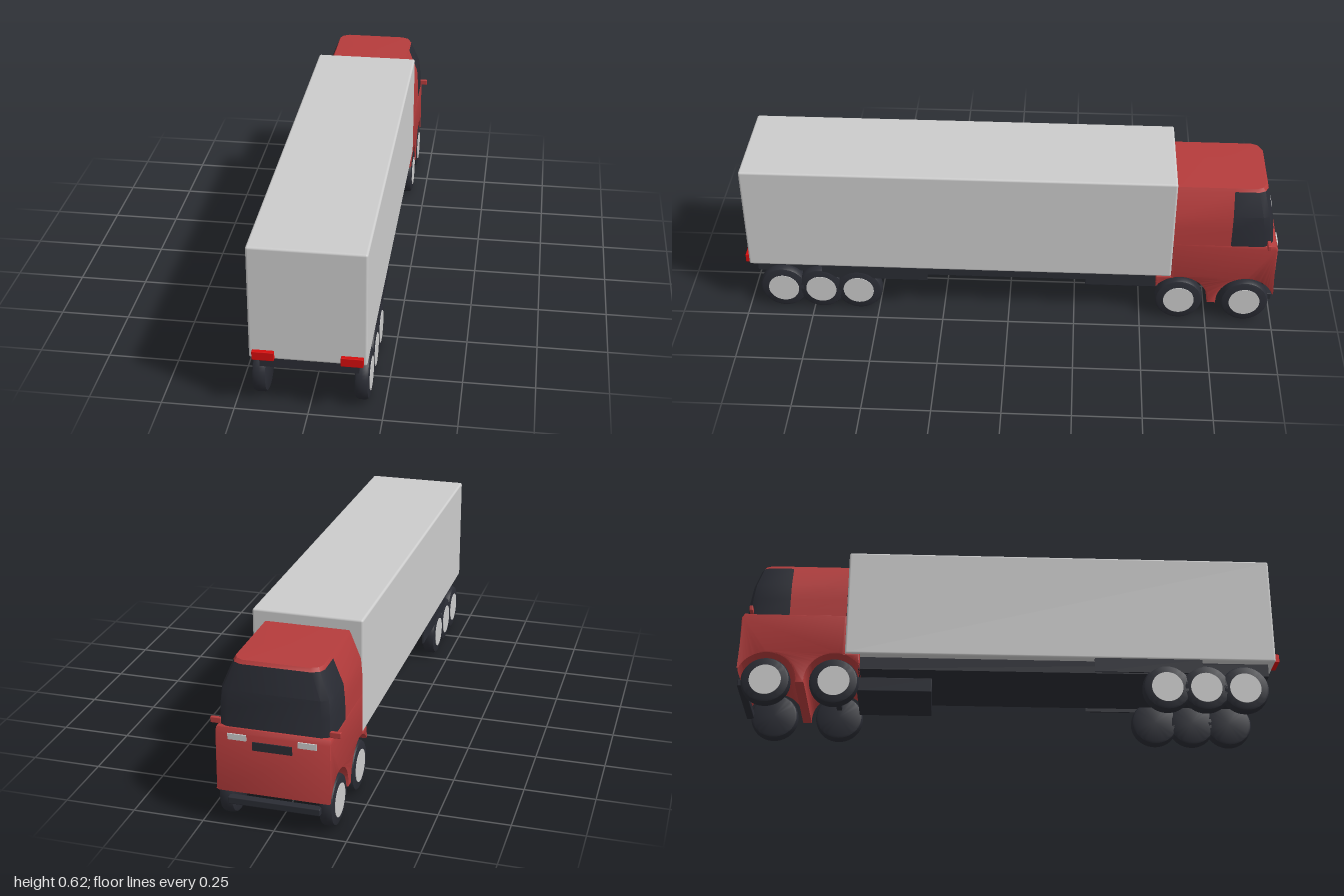
import * as THREE from 'three';
import { toCreasedNormals } from 'three/addons/utils/BufferGeometryUtils.js';
import { RoundedBoxGeometry } from 'three/addons/geometries/RoundedBoxGeometry.js';

function material(name, color) {
  const m = new THREE.MeshStandardMaterial({ color });
  m.name = name;
  return m;
}

export function createModel() {
  const truck = new THREE.Group();
  truck.name = 'truck';
  const red = material('cabRed', 0xb53c3c);
  const grey = material('lightGrey', 0xcccccc);
  const dark = material('darkGrey', 0x2a2c34);
  const lamp = material('tailLampRed', 0xd40c0c);
  const glass = dark.clone();
  glass.name = 'glass';
  glass.side = THREE.DoubleSide;

  function add(name, geometry, mat, x = 0, y = 0, z = 0, parent = truck) {
    const mesh = new THREE.Mesh(geometry, mat);
    mesh.name = name;
    mesh.position.set(x, y, z);
    parent.add(mesh);
    return mesh;
  }
  // Box given by its limits on each axis
  function box(name, mat, [x0, x1], [y0, y1], [z0, z1], r = 0) {
    const w = x1 - x0, h = y1 - y0, d = z1 - z0;
    const g = r ? new RoundedBoxGeometry(w, h, d, 3, r) : new THREE.BoxGeometry(w, h, d);
    return add(name, g, mat, (x0 + x1) / 2, (y0 + y1) / 2, (z0 + z1) / 2);
  }

  // Cargo box and chassis
  box('cargoBox', grey, [-0.197, 0.197], [0.2, 0.62], [-0.61, 0.985], 0.008);
  box('chassis', dark, [-0.167, 0.167], [0.152, 0.201], [-0.56, 0.96]);
  box('underTank', dark, [-0.118, 0.118], [0.086, 0.141], [-0.565, -0.29], 0.003);
  box('crossBar', dark, [-0.15, 0.15], [0.117, 0.135], [-0.655, -0.635]);
  box('frontBumper', dark, [-0.16, 0.16], [0.078, 0.104], [-0.998, -0.97], 0.004);

  // Lower cab: side profile with wheel arches cut through
  const p = new THREE.Shape();
  const arch = 0.108;
  p.moveTo(-0.61, 0.356);
  p.lineTo(-0.61, 0.201);
  p.lineTo(-0.555, 0.201);
  p.absarc(-0.645, 0.09, arch, 0.586, Math.PI + 0.09, false);
  p.absarc(-0.893, 0.09, arch, -0.09, Math.PI - 0.336, false);
  p.lineTo(-0.995, 0.34);
  p.lineTo(-0.985, 0.356);
  p.closePath();
  const bevel = 0.006;
  const lower = new THREE.ExtrudeGeometry(p, {
    depth: 0.394 - 2 * bevel, curveSegments: 24, bevelEnabled: true,
    bevelThickness: bevel, bevelSize: bevel, bevelOffset: -bevel, bevelSegments: 2,
  });
  lower.translate(0, 0, -0.197 + bevel).rotateY(-Math.PI / 2);
  add('lowerCab', toCreasedNormals(lower, 0.7), red);

  // Upper cab: plan outlines [height, half width, front z] lofted upwards
  const levels = [[0.35, 0.196, -0.978], [0.42, 0.195, -0.972], [0.48, 0.19, -0.964], [0.568, 0.155, -0.944], [0.58, 0.149, -0.936]];
  const rings = levels.map(([y, w, f]) => {
    const half = [[w, -0.61], [w, -0.82], [w, f + 0.035], [w - 0.01, f + 0.013], [w - 0.035, f]];
    const other = half.slice().reverse().map(([x, z]) => [-x, z]);
    return [...half, ...other].map(([x, z]) => [x, y, z]);
  });
  const bodyFaces = [], glassFaces = [];
  const columns = rings[0].length - 1;
  for (let i = 0; i < rings.length - 1; i++) {
    for (let j = 0; j < columns; j++) {
      const a = rings[i][j], b = rings[i][j + 1], c = rings[i + 1][j + 1], d = rings[i + 1][j];
      const painted = j === 0 || j === columns - 1 || i === rings.length - 2;
      (painted ? bodyFaces : glassFaces).push(...a, ...b, ...c, ...a, ...c, ...d);
    }
  }
  // Roof closes the top outline
  const top = rings[rings.length - 1];
  top.forEach((a, j) => bodyFaces.push(...a, ...top[(j + 1) % top.length], 0, 0.583, -0.77));
  function faces(points) {
    const g = new THREE.BufferGeometry();
    g.setAttribute('position', new THREE.Float32BufferAttribute(points, 3));
    return toCreasedNormals(g, 0.5);
  }
  add('upperCab', faces(bodyFaces), red);
  add('windscreenAndSideWindows', faces(glassFaces), glass);
  box('frontPlate', dark, [-0.068, 0.068], [0.29, 0.32], [-0.999, -0.992]);

  // Tyre profile turned around the wheel axis
  const tyre = new THREE.LatheGeometry(
    [[0, -0.024], [0.078, -0.024], [0.085, -0.021], [0.089, -0.014], [0.09, 0],
      [0.089, 0.014], [0.085, 0.021], [0.078, 0.024], [0, 0.024]].map(([r, y]) => new THREE.Vector2(r, y)), 40);
  const tyreGeometry = toCreasedNormals(tyre.rotateZ(-Math.PI / 2), 0.6);
  const hubGeometry = new THREE.CylinderGeometry(0.058, 0.058, 0.004, 32).rotateZ(-Math.PI / 2);

  // Mirrored parts on both sides
  for (const s of [-1, 1]) {
    const span = (a, b) => (s > 0 ? [a, b] : [-b, -a]);
    for (const z of [0.863, 0.719, 0.575, -0.645, -0.893]) {
      const wheel = new THREE.Group();
      wheel.name = 'wheel';
      wheel.position.set(s * 0.173, 0.09, z);
      truck.add(wheel);
      add('tyre', tyreGeometry, dark, 0, 0, 0, wheel);
      add('hub', hubGeometry, grey, s * 0.024, 0, 0, wheel);
    }
    box('tailLight', lamp, span(0.111, 0.185), [0.202, 0.234], [0.98, 1], 0.002);
    box('mirror', red, span(0.185, 0.223), [0.355, 0.376], [-0.966, -0.953], 0.003);
    box('headlight', grey, span(0.088, 0.152), [0.32, 0.341], [-0.999, -0.992]);
    box('sideSkirt', dark, span(0.188, 0.195), [0.147, 0.202], [0.31, 0.71]);
  }
  return truck;
}
